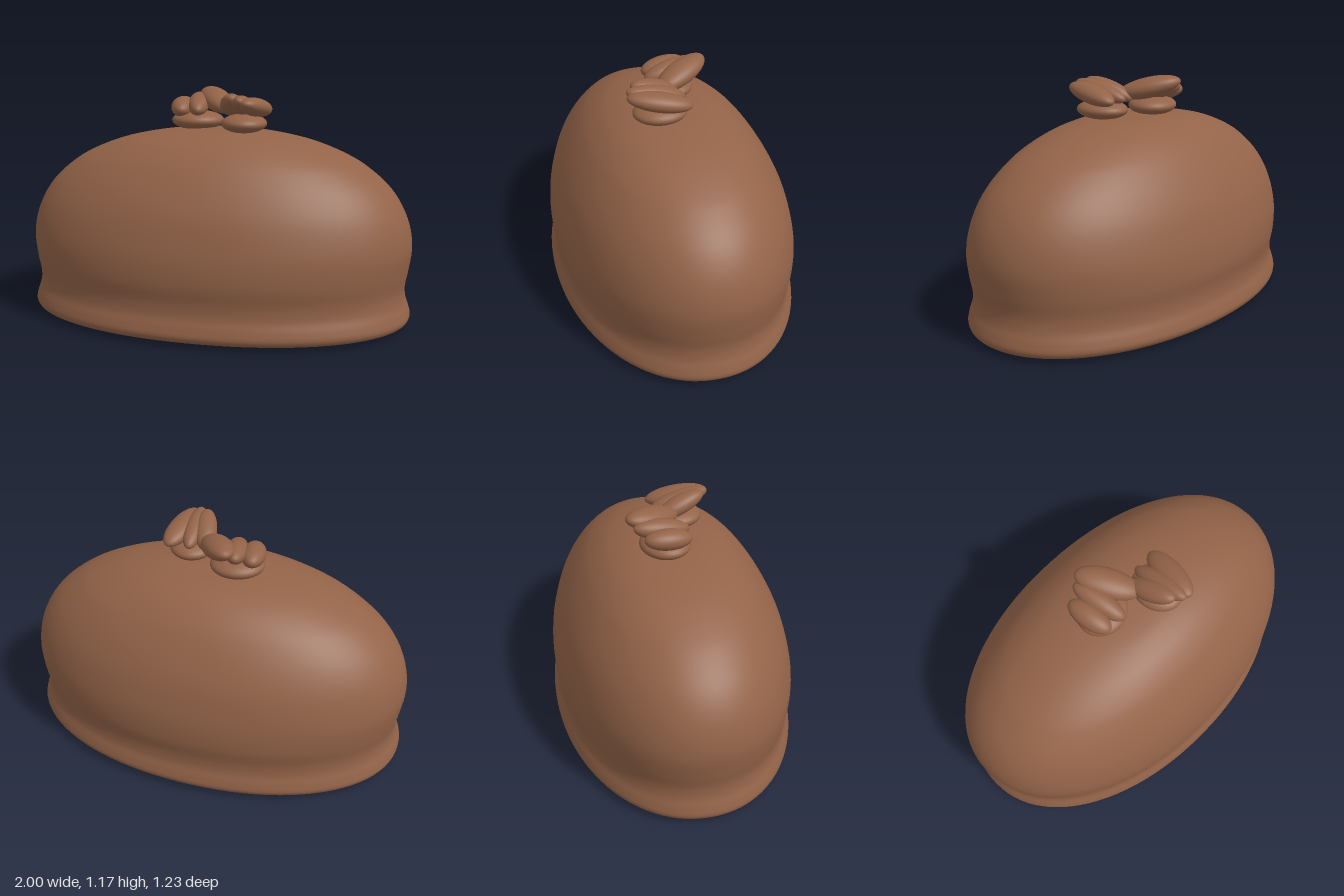
import * as THREE from 'three';

const V = (x, y, z) => new THREE.Vector3(x, y, z);

// Smooth dome: each profile point is (half width in x, height, half depth in z)
function domeGeometry() {
  const curve = new THREE.CatmullRomCurve3([
    V(0, 0, 0), V(0.5, 0.006, 0.31), V(0.93, 0.018, 0.55), V(0.985, 0.024, 0.6), V(1, 0.05, 0.615),
    V(0.992, 0.09, 0.608), V(0.975, 0.14, 0.592), V(0.97, 0.2, 0.59), V(0.985, 0.29, 0.603),
    V(0.998, 0.4, 0.598), V(0.984, 0.5, 0.577), V(0.945, 0.6, 0.545), V(0.875, 0.7, 0.495),
    V(0.755, 0.8, 0.428), V(0.665, 0.85, 0.383), V(0.54, 0.9, 0.322), V(0.43, 0.93, 0.267),
    V(0.25, 0.96, 0.175), V(0, 0.974, 0),
  ], false, 'centripetal');
  const rows = 90, cols = 96, pos = [], idx = [];
  const bulge = (v) => Math.sign(v) * Math.abs(v) ** 0.96;
  for (let i = 0; i <= rows; i++) {
    const p = curve.getPoint(i / rows);
    for (let j = 0; j < cols; j++) {
      const a = (j / cols) * Math.PI * 2;
      pos.push(p.x * bulge(Math.cos(a)), p.y, p.z * bulge(Math.sin(a)));
      if (i === rows) continue;
      const k = (j + 1) % cols;
      const b = i * cols + j, c = i * cols + k, d = b + cols, e = c + cols;
      idx.push(b, d, c, c, d, e);
    }
  }
  const g = new THREE.BufferGeometry();
  g.setAttribute('position', new THREE.Float32BufferAttribute(pos, 3));
  g.setIndex(idx);
  g.computeVertexNormals();
  return g;
}

export function createModel() {
  const model = new THREE.Group();
  const chocolate = new THREE.MeshStandardMaterial({ color: 0x936348 });
  chocolate.name = 'milk chocolate';
  const ball = new THREE.SphereGeometry(1, 36, 24);

  const add = (parent, name, geometry) => {
    const m = new THREE.Mesh(geometry, chocolate);
    m.name = name;
    parent.add(m);
    return m;
  };

  // Rounded lobe stretched between two end points
  const lobe = (parent, a, b, width, height) => {
    const m = add(parent, 'beanLobe', ball);
    m.position.copy(a).add(b).multiplyScalar(0.5);
    m.scale.set(width, height, a.distanceTo(b) / 2);
    m.lookAt(b);
  };

  // Flat lower half of a bean
  const lower = (parent, center, rx, ry, rz, yaw) => {
    const m = add(parent, 'beanLowerHalf', ball);
    m.position.copy(center);
    m.scale.set(rx, ry, rz);
    m.rotation.y = yaw;
  };

  add(model, 'chocolateDome', domeGeometry());

  // Bean on the right, tilted up to the back
  const rightBean = new THREE.Group();
  rightBean.name = 'rightBean';
  lower(rightBean, V(-0.115, 1.005, -0.035), 0.135, 0.05, 0.122, 0.3);
  lobe(rightBean, V(-0.215, 1.085, -0.15), V(-0.175, 1.06, 0.085), 0.06, 0.05);
  lobe(rightBean, V(-0.145, 1.115, -0.19), V(-0.085, 1.06, 0.09), 0.055, 0.05);
  lobe(rightBean, V(-0.115, 1.145, -0.215), V(0.06, 1.07, 0.05), 0.075, 0.052);
  model.add(rightBean);

  // Bean on the left, tilted up to the front
  const leftBean = new THREE.Group();
  leftBean.name = 'leftBean';
  lower(leftBean, V(0.155, 1.005, 0.07), 0.115, 0.048, 0.135, 0.1);
  lobe(leftBean, V(0.055, 1.055, -0.04), V(0.125, 1.14, 0.205), 0.055, 0.046);
  lobe(leftBean, V(0.135, 1.06, -0.06), V(0.165, 1.13, 0.235), 0.05, 0.045);
  lobe(leftBean, V(0.24, 1.06, -0.07), V(0.195, 1.115, 0.24), 0.066, 0.046);
  model.add(leftBean);

  return model;
}
